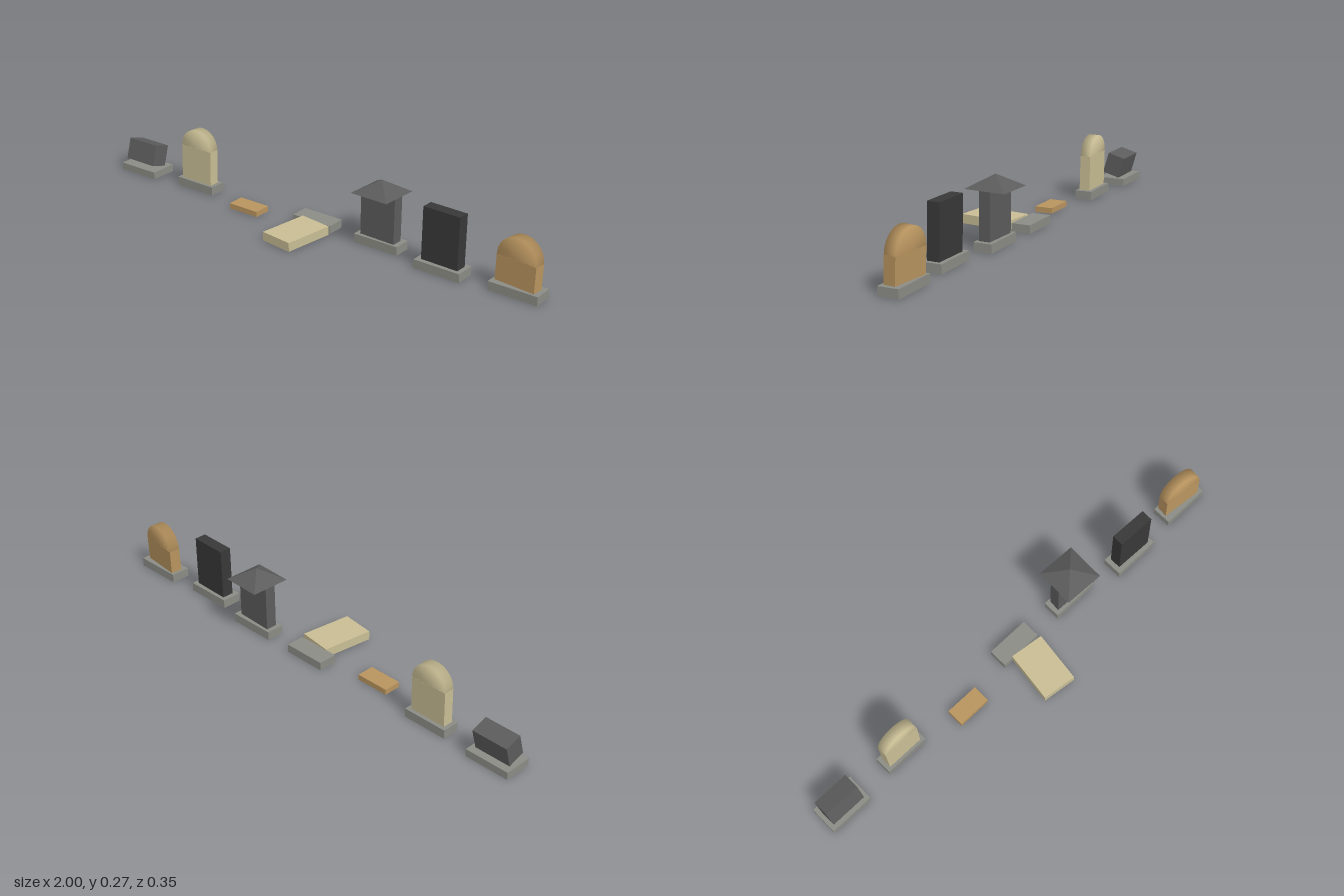
import * as THREE from 'three';
import { mergeVertices } from 'three/addons/utils/BufferGeometryUtils.js';

const mat = (color) => new THREE.MeshStandardMaterial({ color });
const plinthGrey = mat(0x8c8c86);
const midGrey = mat(0x5c5c5c);
const darkGrey = mat(0x383838);
const cream = mat(0xc8bd94);
const tan = mat(0xb8945f);

function addMesh(parent, name, geometry, material, x = 0, y = 0, z = 0) {
  const mesh = new THREE.Mesh(geometry, material);
  mesh.name = name;
  mesh.position.set(x, y, z);
  parent.add(mesh);
  return mesh;
}

// Box standing on y = 0 of its parent
function standingBox(parent, name, w, h, d, material, x = 0, y = 0, z = 0) {
  return addMesh(parent, name, new THREE.BoxGeometry(w, h, d), material, x, y + h / 2, z);
}

// Group that holds a stone on its plinth, leaning back and turned
function stoneGroup(parent, name, x, y, z, lean, yaw) {
  const g = new THREE.Group();
  g.name = name;
  g.position.set(x, y, z);
  g.rotation.set(-lean, yaw, 0, 'YXZ');
  parent.add(g);
  return g;
}

// Slab with a round head; the head is softly shaded
function archedStone(parent, w, h, d, material) {
  const r = w / 2;
  standingBox(parent, 'stoneBody', w, h - r, d, material);
  let head = new THREE.CylinderGeometry(r, r, d * 0.99, 32);
  head.deleteAttribute('normal');
  head.deleteAttribute('uv');
  head = mergeVertices(head, 1e-5);
  head.rotateX(Math.PI / 2);
  head.computeVertexNormals();
  addMesh(parent, 'stoneHead', head, material, 0, h - r, 0);
}

export function createModel() {
  const model = new THREE.Group();
  model.name = 'gravestoneRow';

  // Plinths: x, z, width, height, depth
  const plinths = [
    [-0.908, -0.079, 0.184, 0.03, 0.114],
    [-0.607, -0.08, 0.186, 0.035, 0.07],
    [-0.004, -0.087, 0.178, 0.033, 0.077],
    [0.296, -0.087, 0.196, 0.035, 0.072],
    [0.596, -0.048, 0.196, 0.035, 0.082],
    [0.9, -0.066, 0.2, 0.035, 0.08],
  ];
  for (const [x, z, w, h, d] of plinths) {
    standingBox(model, 'plinth', w, h, d, plinthGrey, x, 0, z);
  }

  // Low block tilted back on its plinth
  const block = addMesh(model, 'slantedBlock', new THREE.BoxGeometry(0.15, 0.088, 0.073), midGrey, -0.908, 0.083, -0.082);
  block.rotation.x = -0.28;

  // Round-headed stones
  archedStone(stoneGroup(model, 'creamStone', -0.607, 0.034, -0.078, 0.02, 0), 0.154, 0.221, 0.043, cream);
  archedStone(stoneGroup(model, 'tanStone', 0.897, 0.034, -0.068, 0.035, -0.1), 0.168, 0.185, 0.046, tan);

  // Small flat marker
  standingBox(model, 'flatMarker', 0.139, 0.022, 0.072, tan, -0.305, 0, -0.031);

  // Fallen slab in front of its plinth
  const fallen = standingBox(model, 'fallenSlab', 0.14, 0.036, 0.211, cream, 0.007, 0.003, 0.061);
  fallen.rotation.y = -0.128;

  // Pillar with a pyramid cap
  const pillar = stoneGroup(model, 'pillar', 0.295, 0.034, -0.086, 0.012, -0.035);
  standingBox(pillar, 'pillarShaft', 0.156, 0.187, 0.045, midGrey);
  const cap = new THREE.ConeGeometry(0.163 / Math.SQRT2, 0.05, 4).toNonIndexed();
  cap.rotateY(Math.PI / 4);
  cap.computeVertexNormals();
  addMesh(pillar, 'pillarCap', cap, midGrey, 0, 0.21, 0);

  // Tall plain slab
  const slab = stoneGroup(model, 'darkSlab', 0.597, 0.034, -0.049, 0.015, -0.025);
  standingBox(slab, 'slabBody', 0.158, 0.21, 0.048, darkGrey);

  return model;
}
